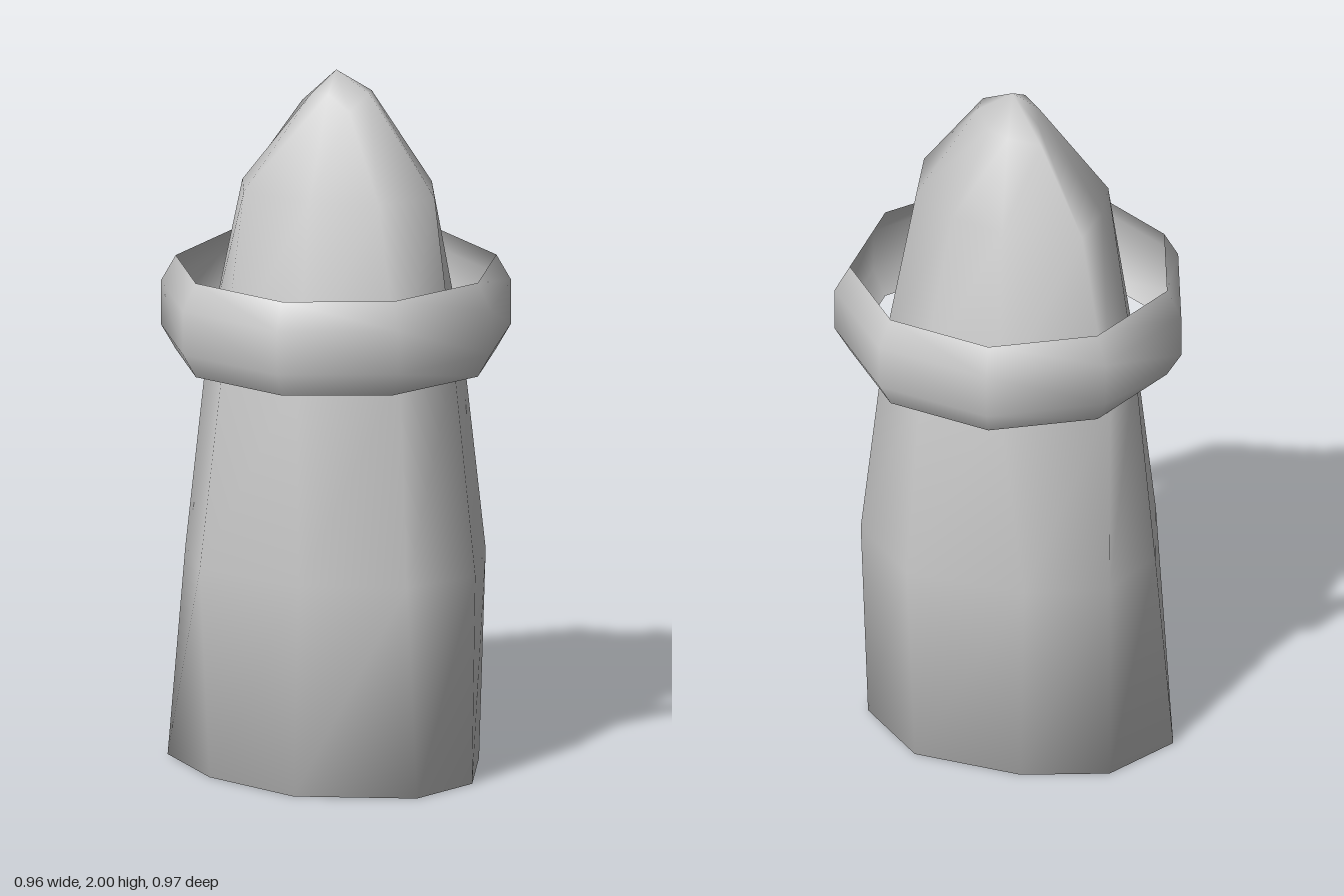
import * as THREE from 'three';

// Irregular nine-sided cross-sections: [x, z] pairs, starting at +x and turning towards -z.
const SECTIONS = [
  { y: 0.0, pts: [[.42, 0], [.30, -.25], [.05, -.355], [-.25, -.26], [-.44, -.1], [-.475, .14], [-.25, .30], [.055, .365], [.365, .215]] },
  { y: 0.6, pts: [[.43, 0], [.31, -.27], [.055, -.385], [-.27, -.27], [-.44, -.1], [-.435, .11], [-.27, .32], [.055, .335], [.33, .21]] },
  { y: 1.2, pts: [[.362, 0], [.27, -.21], [.055, -.318], [-.2, -.295], [-.442, -.1], [-.362, .11], [-.22, .275], [.055, .345], [.305, .205]] },
  { y: 1.67, pts: [[.30, 0], [.2, -.16], [.04, -.2], [-.12, -.18], [-.31, -.06], [-.27, .08], [-.2, .195], [.02, .215], [.2, .14]] },
];
// Uneven shoulder under the tip: [x, y, z]
const SHOULDER = [[.09, 1.945, 0], [.07, 1.94, -.05], [.0, 1.92, -.09], [-.07, 1.915, -.09], [-.14, 1.89, -.03],
  [-.09, 1.915, .02], [-.06, 1.94, .06], [.005, 1.95, .08], [.06, 1.9, .06]];
const SIDES = 9;

// Skin joining the cross-sections, closed below by a fan and above by a point
function bodyGeometry() {
  const rings = SECTIONS.map(s => s.pts.map(([x, z]) => [x, s.y, z]));
  rings.push(SHOULDER);
  const verts = rings.flat();
  const base = verts.push([0, 0, 0]) - 1;
  const tip = verts.push([-.015, 2, 0]) - 1;
  const index = [];
  const last = (rings.length - 1) * SIDES;
  for (let i = 0; i < SIDES; i++) {
    const j = (i + 1) % SIDES;
    for (let k = 0; k < last; k += SIDES) {
      const a = k + i, b = k + j, c = b + SIDES, d = a + SIDES;
      index.push(a, b, c, a, c, d);
    }
    index.push(base, j, i, last + i, last + j, tip);
  }
  const g = new THREE.BufferGeometry();
  g.setAttribute('position', new THREE.Float32BufferAttribute(verts.flat(), 3));
  g.setIndex(index);
  g.computeVertexNormals();
  return g;
}

export function createModel() {
  const group = new THREE.Group();

  // Tapering body
  const body = new THREE.Mesh(bodyGeometry(), new THREE.MeshStandardMaterial({ color: 0xcccccc }));
  body.name = 'body';
  group.add(body);

  // Open nine-sided band around the upper body
  const profile = [[.453, 1.175], [.495, 1.245], [.495, 1.37], [.453, 1.445]].map(p => new THREE.Vector2(...p));
  const band = new THREE.Mesh(
    new THREE.LatheGeometry(profile, SIDES, Math.PI / 2),
    new THREE.MeshStandardMaterial({ color: 0xcccccc, side: THREE.DoubleSide }));
  band.position.x = -.015;
  band.name = 'band';
  group.add(band);

  return group;
}
